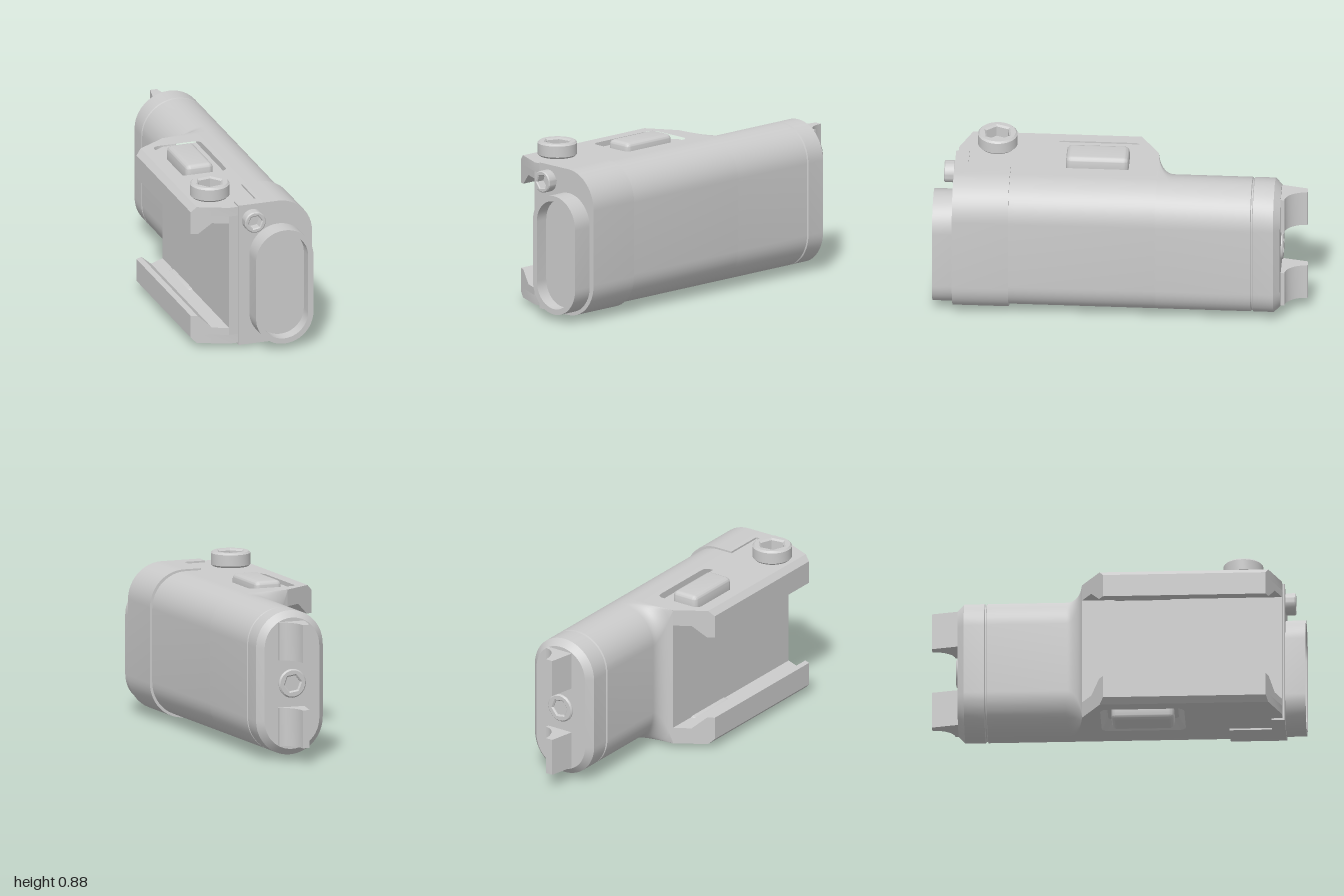
import * as THREE from 'three';
import { toCreasedNormals } from 'three/addons/utils/BufferGeometryUtils.js';
import { RoundedBoxGeometry } from 'three/addons/geometries/RoundedBoxGeometry.js';

const MID = 0.42; // height of the symmetry plane
const grey = new THREE.MeshStandardMaterial({ color: 0xcccccc });

// Rounded rectangle outline, counter-clockwise, with separate left and right corner radii
function roundedRect(x0, x1, y0, y1, rLeft, rRight, steps = 12) {
  const pts = [];
  const corners = [[x1, y0, -1, 1, rRight], [x1, y1, -1, -1, rRight], [x0, y1, 1, -1, rLeft], [x0, y0, 1, 1, rLeft]];
  corners.forEach(([x, y, sx, sy, r], k) => {
    const n = r > 0 ? steps : 0;
    for (let i = 0; i <= n; i++) {
      const a = (k - 1 + (n ? i / n : 0)) * Math.PI / 2;
      pts.push(new THREE.Vector2(x + sx * r + r * Math.cos(a), y + sy * r + r * Math.sin(a)));
    }
  });
  return pts;
}

function extrude(pts, depth, holes = [], bevel = 0) {
  const shape = new THREE.Shape(pts.map(p => p.isVector2 ? p : new THREE.Vector2(...p)));
  holes.forEach(h => shape.holes.push(new THREE.Path(h)));
  return new THREE.ExtrudeGeometry(shape, {
    depth, bevelEnabled: bevel > 0, bevelSize: bevel, bevelThickness: bevel, bevelOffset: -bevel, bevelSegments: 1,
  });
}

// Skin through equal-length rings ordered by rising z, closed at the first ring
function loft(rings) {
  const n = rings[0].pts.length, pos = [], idx = [];
  for (const { pts, z } of rings) for (const p of pts) pos.push(p.x, p.y, z);
  for (let i = 0; i < rings.length - 1; i++) {
    for (let j = 0; j < n; j++) {
      const a = i * n + j, b = i * n + (j + 1) % n;
      idx.push(a, b, b + n, a, b + n, a + n);
    }
  }
  pos.push(0.118, MID, rings[0].z);
  for (let j = 0; j < n; j++) idx.push(rings.length * n, (j + 1) % n, j);
  const g = new THREE.BufferGeometry();
  g.setAttribute('position', new THREE.Float32BufferAttribute(pos, 3));
  g.setIndex(idx);
  return g;
}

export function createModel() {
  const model = new THREE.Group();

  function add(name, geo, x = 0, y = 0, z = 0, parent = model) {
    const mesh = new THREE.Mesh(toCreasedNormals(geo, 0.5), grey);
    mesh.name = name;
    mesh.position.set(x, y, z);
    parent.add(mesh);
    return mesh;
  }

  // Socket-head bolt pointing along +z from its base
  function bolt(name, r, h, hexR, x, y, z, rx = 0, ry = 0) {
    const g = new THREE.Group();
    g.name = name;
    g.position.set(x, y, z);
    g.rotation.set(rx, ry, 0);
    const circle = [], hex = [];
    for (let i = 0; i < 40; i++) circle.push(new THREE.Vector2(r * Math.cos(i * Math.PI / 20), r * Math.sin(i * Math.PI / 20)));
    for (let i = 0; i < 6; i++) hex.push(new THREE.Vector2(hexR * Math.cos(i * Math.PI / 3 + 0.15), hexR * Math.sin(i * Math.PI / 3 + 0.15)));
    const bevel = r * 0.09;
    add(name + 'Head', extrude(circle, h - 2 * bevel, [hex], bevel), 0, 0, bevel, g);
    add(name + 'SocketFloor', new THREE.CircleGeometry(r * 0.8, 24), 0, 0, h * 0.15, g);
    model.add(g);
  }

  // Rear tube: chamfered end cap, seam groove, then a fillet out to the mount
  const rings = [];
  const tube = (z, inset = 0, left = -0.075, r = 0.193) => rings.push({
    z, pts: roundedRect(left + inset, 0.312 - inset, 0.03 + inset, 0.81 - inset, r - inset, 0.193 - inset),
  });
  tube(-0.86, 0.035);
  tube(-0.825);
  tube(-0.716);
  tube(-0.712, 0.007);
  tube(-0.706, 0.007);
  tube(-0.702);
  for (let i = 0; i <= 10; i++) {
    const t = i / 10, e = 1 - Math.sqrt(1 - 0.96 * t * t);
    const k = e / 0.8;
    tube(-0.28 + 0.09 * t, 0, -0.075 - 0.065 * k, 0.193 - 0.185 * k);
  }
  add('rearTube', loft(rings));

  // Rounded outer side and solid core of the middle section
  add('bodySide', extrude(roundedRect(0.05, 0.312, 0.03, 0.81, 0, 0.193), 0.79), 0, 0, -0.19);
  add('bodyCore', new THREE.BoxGeometry(0.19, 0.68, 1.07), -0.045, MID, 0.345);

  // Slanted ends of the rail mount
  const back = x => -0.07 - (x + 0.33) * 0.12 / 0.19;
  const front = x => 0.8 + (x + 0.33) * 0.08 / 0.19;

  const jaw = [[-0.3, 0.81], [-0.33, 0.78], [-0.33, 0.655], [-0.295, 0.655], [-0.225, 0.72], [-0.14, 0.72], [-0.14, 0.76], [-0.3, 0.76]];
  const plate = [[-0.3, back(-0.3)], [-0.14, -0.19], [0.05, -0.19], [0.05, 0.88], [-0.14, 0.88], [-0.3, front(-0.3)]];

  for (const s of [1, -1]) {
    const side = s > 0 ? 'upper' : 'lower';

    // Hooked rail jaw
    const jawGeo = extrude(jaw.map(([x, y]) => [x, MID + s * (y - MID)]), 1);
    const jp = jawGeo.attributes.position;
    for (let i = 0; i < jp.count; i++) jp.setZ(i, jp.getZ(i) < 0.5 ? back(jp.getX(i)) : front(jp.getX(i)));
    add(side + 'RailJaw', jawGeo);

    // Cover plate with a pocket whose walls taper toward the floor
    const hole = roundedRect(-0.235, 0.035, -0.09, 0.36, 0.035, 0.035, 6).map(p => new THREE.Vector2(p.x, -s * p.y));
    const plateGeo = extrude(plate.map(([x, z]) => [x, -s * z]), 0.05, [hole]);
    const pp = plateGeo.attributes.position, cx = -0.1, cy = -s * 0.135;
    for (let i = 0; i < pp.count; i++) {
      const x = pp.getX(i), y = pp.getY(i);
      if (pp.getZ(i) < 0.01 && Math.abs(x - cx) < 0.136 && Math.abs(y - cy) < 0.226) {
        pp.setXY(i, cx + (x - cx) * 0.7, cy + (y - cy) * 0.84);
      }
    }
    plateGeo.rotateX(-s * Math.PI / 2);
    add(side + 'CoverPlate', plateGeo, 0, MID + s * 0.34, 0);

    // Push button
    add(side + 'Button', new RoundedBoxGeometry(0.155, 0.12, 0.335, 4, 0.028), -0.1, MID + s * 0.355, 0.135);

    // Rear contact claw
    const claw = [[0.045, -0.85], [0.075, -1], [0.115, -1]];
    for (let i = 1; i <= 8; i++) {
      const a = i / 8 * Math.PI / 2;
      claw.push([0.2 - 0.085 * Math.cos(a), -1 + 0.12 * Math.sin(a)]);
    }
    claw.push([0.2, -0.85]);
    const clawGeo = extrude(claw.map(([x, z]) => [x, -z]), 0.205).rotateX(-Math.PI / 2);
    add(side + 'RearClaw', clawGeo, 0, s > 0 ? 0.55 : 0.088, 0);
  }

  // Front cap with a stepped overlap onto the mount
  add('frontCap', extrude(roundedRect(0.03, 0.325, 0.02, 0.82, 0, 0.195), 0.3), 0, 0, 0.592);
  add('frontCapTab', new THREE.BoxGeometry(0.125, 0.8, 0.072), -0.0285, MID, 0.856);

  // Lens bezel and its recessed window
  const bezelHole = roundedRect(0, 0.265, 0.07, 0.66, 0.132, 0.132);
  add('lensBezel', extrude(roundedRect(-0.03, 0.295, 0.04, 0.69, 0.162, 0.162), 0.11, [bezelHole]), 0, 0, 0.89);
  add('lensWindow', extrude(roundedRect(-0.01, 0.275, 0.06, 0.67, 0.142, 0.142), 0.04), 0, 0, 0.89);

  // Bolts
  bolt('clampBolt', 0.106, 0.08, 0.068, -0.178, 0.81, 0.675, -Math.PI / 2, 0);
  bolt('frontBolt', 0.059, 0.058, 0.038, -0.015, 0.735, 0.892);
  bolt('rearBolt', 0.078, 0.022, 0.046, 0.118, MID, -0.85, 0, Math.PI);
  return model;
}
